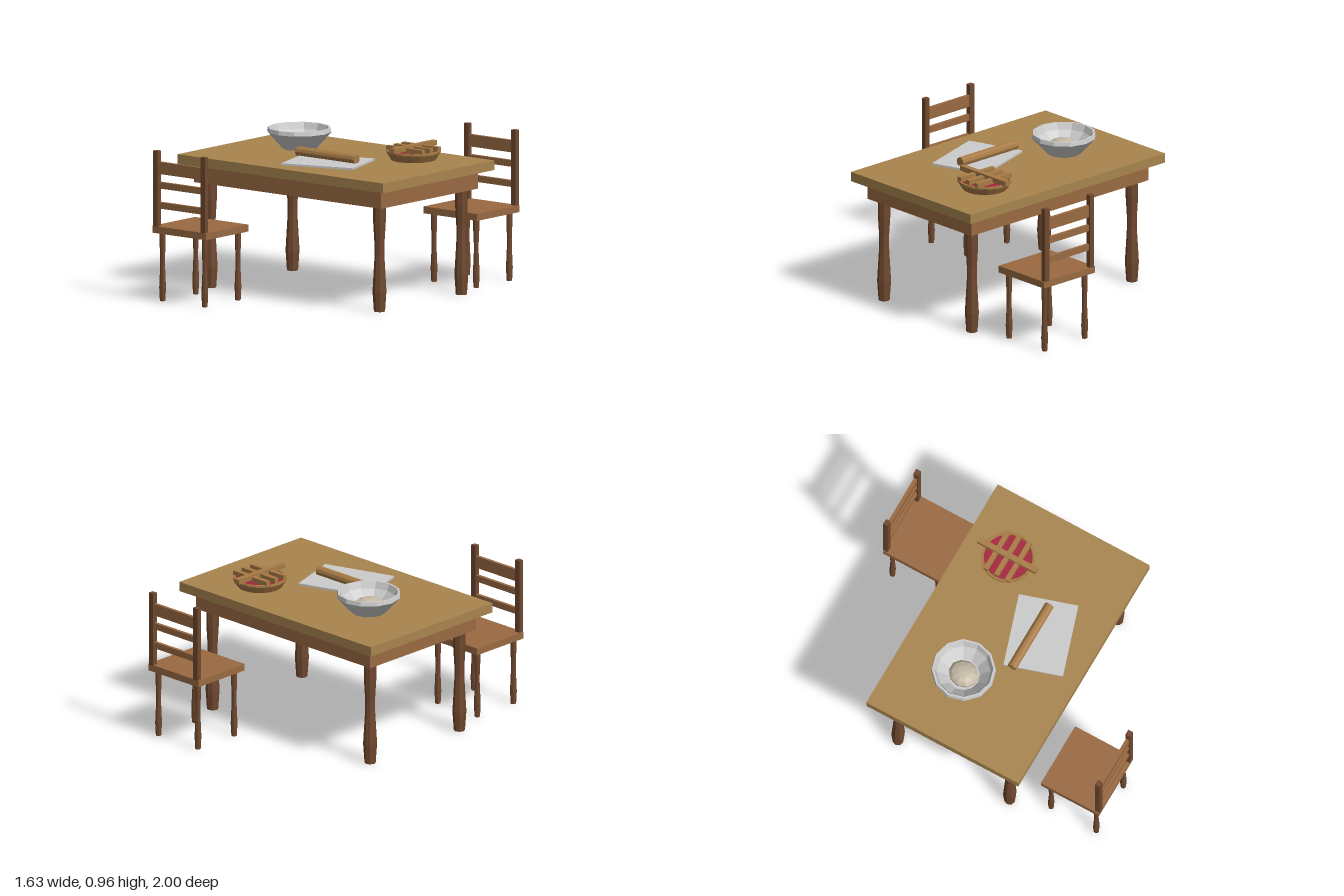
import * as THREE from 'three';

const mat = (color, extra = {}) => new THREE.MeshStandardMaterial({ color, flatShading: true, ...extra });
const top = mat(0xa8854f), wood = mat(0x9a6a42), dark = mat(0x70492f), crust = mat(0xa87b45);
const grey = mat(0xcccccc), red = mat(0xa5243d), doughMat = mat(0xc4b9a4);

function add(parent, name, geometry, material, x = 0, y = 0, z = 0) {
  const mesh = new THREE.Mesh(geometry, material);
  mesh.name = name;
  mesh.position.set(x, y, z);
  parent.add(mesh);
  return mesh;
}

// Box given by its limits on each axis
function box(parent, name, material, [x0, x1], [y0, y1], [z0, z1]) {
  return add(parent, name, new THREE.BoxGeometry(x1 - x0, y1 - y0, z1 - z0), material,
    (x0 + x1) / 2, (y0 + y1) / 2, (z0 + z1) / 2);
}

const lathe = (points, sides) =>
  new THREE.LatheGeometry(points.map(([r, y]) => new THREE.Vector2(r, y)), sides);

// Turned leg: swollen foot, narrow waist, fuller top
function turnedLeg(h, r) {
  return lathe([[0, 0], [0.8 * r, 0], [r, 0.19 * h], [0.7 * r, 0.53 * h], [0.72 * r, 0.64 * h],
    [0.9 * r, 0.84 * h], [0.9 * r, h]], 8);
}

function makeTable() {
  const g = new THREE.Group();
  g.name = 'table';
  box(g, 'tableTop', top, [-0.817, 0.817], [0.77, 0.83], [-0.535, 0.535]);
  box(g, 'apron', wood, [-0.743, 0.743], [0.655, 0.77], [-0.465, 0.465]);
  const leg = turnedLeg(0.66, 0.043);
  for (const x of [-0.672, 0.672]) for (const z of [-0.393, 0.393]) add(g, 'tableLeg', leg, dark, x, 0, z);
  return g;
}

// Chair centred on x, with its back towards +z
function makeChair() {
  const g = new THREE.Group();
  g.name = 'chair';
  box(g, 'seat', wood, [-0.213, 0.213], [0.425, 0.468], [0.59, 0.998]);
  const leg = turnedLeg(0.43, 0.021);
  for (const s of [-1, 1]) {
    for (const z of [0.637, 0.955]) add(g, 'chairLeg', leg, dark, s * 0.168, 0, z);
    box(g, 'backPost', dark, [s * 0.188 - 0.018, s * 0.188 + 0.018], [0.466, 0.937], [0.968, 1]);
  }
  for (const [y0, y1] of [[0.58, 0.62], [0.705, 0.745], [0.795, 0.87]])
    box(g, 'backRail', wood, [-0.172, 0.172], [y0, y1], [0.973, 0.994]);
  return g;
}

function makeBowl() {
  const g = new THREE.Group();
  g.name = 'mixingBowl';
  add(g, 'bowl', lathe([[0, 0], [0.105, 0], [0.125, 0.022], [0.2, 0.105], [0.195, 0.13], [0.182, 0.13],
    [0.165, 0.09], [0.1, 0.025], [0, 0.018]], 12), grey);
  const dough = add(g, 'dough', new THREE.SphereGeometry(1, 10, 7), doughMat, 0, 0.045, 0);
  dough.scale.set(0.087, 0.045, 0.097);
  g.position.set(-0.375, 0.832, -0.1);
  return g;
}

function makePie() {
  const g = new THREE.Group();
  g.name = 'pie';
  add(g, 'pieCrust', lathe([[0, 0], [0.138, 0], [0.166, 0.045], [0.166, 0.058], [0.153, 0.058],
    [0.145, 0.04], [0, 0.04]], 20), crust);
  add(g, 'filling', new THREE.CylinderGeometry(0.147, 0.14, 0.02, 20), red, 0, 0.042, 0);
  for (const z of [-0.075, 0, 0.075])
    box(g, 'crossStrip', crust, [-0.144, 0.144], [0.05, 0.083], [z - 0.015, z + 0.015]);
  box(g, 'longStrip', crust, [-0.018, 0.018], [0.063, 0.094], [-0.205, 0.205]);
  g.position.set(0.418, 0.832, -0.238);
  return g;
}

export function createModel() {
  const model = new THREE.Group();
  model.name = 'kitchenTableSet';
  model.add(makeTable(), makeBowl(), makePie());

  // Two chairs facing each other across the table
  for (const s of [-1, 1]) {
    const chair = makeChair();
    chair.position.x = s * 0.42;
    if (s > 0) chair.rotation.y = Math.PI;
    model.add(chair);
  }

  // Baking sheet and rolling pin
  add(model, 'bakingSheet', new THREE.BoxGeometry(0.47, 0.012, 0.372), grey, 0.088, 0.836, 0.182).rotation.y = 0.312;
  const pin = add(model, 'rollingPin', new THREE.CylinderGeometry(0.03, 0.03, 0.466, 10), crust, 0.043, 0.866, 0.135);
  pin.rotation.z = Math.PI / 2;
  return model;
}
